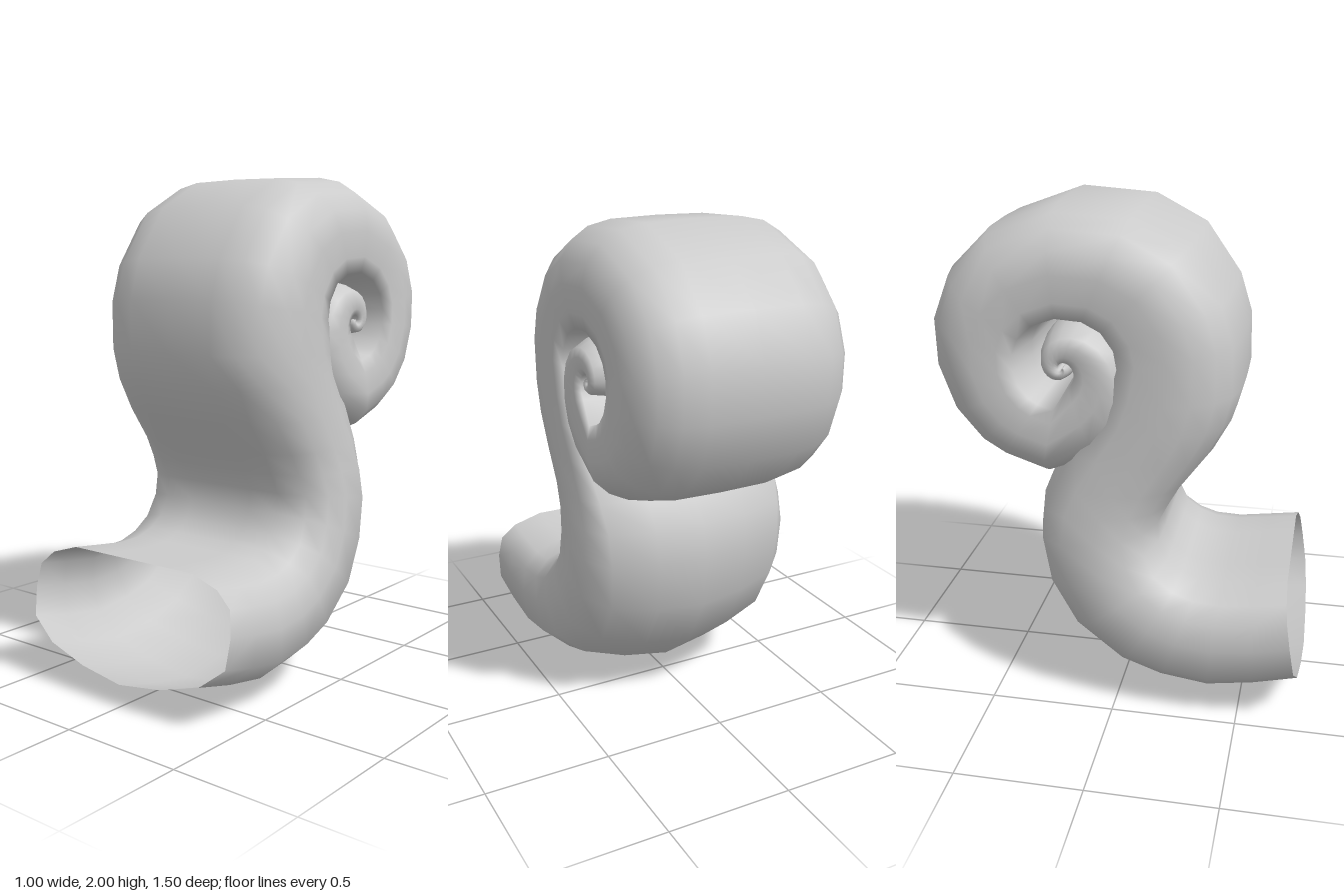
import * as THREE from 'three';

// Centre of the coil in (z, y)
const CZ = -0.2, CY = 1.42;

// Half cross-sections: [width fraction, position from edge A to edge B]
const MOUTH = [[0, 0], [0.3, 0], [0.6, 0], [0.84, 0.08], [0.97, 0.2], [1, 0.4], [0.98, 0.65], [0.76, 0.83], [0.4, 0.94], [0, 1]];
const COIL = [[0, 0], [0.45, 0.01], [0.67, 0.06], [0.84, 0.17], [0.97, 0.34], [1, 0.55], [0.99, 0.8], [0.96, 0.95], [0.5, 1], [0, 1]];

// Neck stations: edge A (z, y), edge B (z, y), half width
const NECK = [
  [0.67, 0.555, 0.745, 0.09, 0.5], [0.55, 0.54, 0.56, 0.04, 0.5],
  [0.42, 0.525, 0.36, 0.003, 0.495], [0.32, 0.53, 0.15, 0.03, 0.49],
  [0.25, 0.555, -0.03, 0.09, 0.485], [0.19, 0.6, -0.24, 0.26, 0.48],
  [0.155, 0.68, -0.35, 0.47, 0.47], [0.155, 0.76, -0.375, 0.68, 0.465],
  [0.2, 0.84, -0.355, 0.82, 0.455], [0.25, 0.92, -0.29, 0.94, 0.45],
  [0.35, 1.05, -0.2, 1.07, 0.448], [0.42, 1.18, -0.1, 1.2, 0.448],
  [0.455, 1.31, -0.05, 1.3, 0.448], [0.45, 1.51, -0.01, 1.43, 0.448],
];

// Outer edge of the first whorl (z, y)
const WHORL = [
  [0.4, 1.67], [0.26, 1.87], [0.05, 1.98], [-0.25, 2], [-0.52, 1.9], [-0.68, 1.74],
  [-0.75, 1.56], [-0.745, 1.37], [-0.68, 1.19], [-0.57, 1.06], [-0.47, 1], [-0.29, 0.94],
];

function makeStations() {
  const stations = [...NECK];
  const coilStation = (z, y, k, w) =>
    stations.push([z, y, CZ + k * (z - CZ), CY + k * (y - CY), w]);
  WHORL.forEach(([z, y]) => coilStation(z, y, 0.3, 0.448));
  // Inner spiral shrinking to the centre
  const steps = 24;
  for (let i = 1; i <= steps; i++) {
    const a = THREE.MathUtils.degToRad(270 + 20 * i);
    const r = 0.47 * Math.pow(0.6, (20 * i) / 90);
    coilStation(CZ + r * Math.cos(a), CY + r * Math.sin(a), 0.15 * (1 - i / steps), 0.446 - 0.02 * i / steps);
  }
  return stations;
}

function shellGeometry() {
  const stations = makeStations();
  const half = MOUTH.length;
  const ring = 2 * half - 2;
  const positions = [], indices = [];
  stations.forEach(([az, ay, bz, by, w], i) => {
    const blend = THREE.MathUtils.smoothstep(i, 4, 13);
    for (let j = 0; j < ring; j++) {
      const m = j < half ? j : ring - j;
      const side = j < half ? 1 : -1;
      const x = THREE.MathUtils.lerp(MOUTH[m][0], COIL[m][0], blend) * w * side;
      const t = THREE.MathUtils.lerp(MOUTH[m][1], COIL[m][1], blend);
      positions.push(x, ay + (by - ay) * t, az + (bz - az) * t);
    }
  });
  for (let i = 0; i < stations.length - 1; i++) {
    for (let j = 0; j < ring; j++) {
      const n = (j + 1) % ring;
      const a = i * ring + j, b = i * ring + n, c = a + ring, d = b + ring;
      indices.push(a, b, c, b, d, c);
    }
  }
  const geometry = new THREE.BufferGeometry();
  geometry.setAttribute('position', new THREE.Float32BufferAttribute(positions, 3));
  geometry.setIndex(indices);
  geometry.computeVertexNormals();
  return geometry;
}

export function createModel() {
  const group = new THREE.Group();
  group.name = 'coiledShell';
  // Open at the mouth, so both faces are shown
  const material = new THREE.MeshStandardMaterial({ color: 0xcccccc, side: THREE.DoubleSide });
  const shell = new THREE.Mesh(shellGeometry(), material);
  shell.name = 'shell';
  group.add(shell);
  return group;
}
